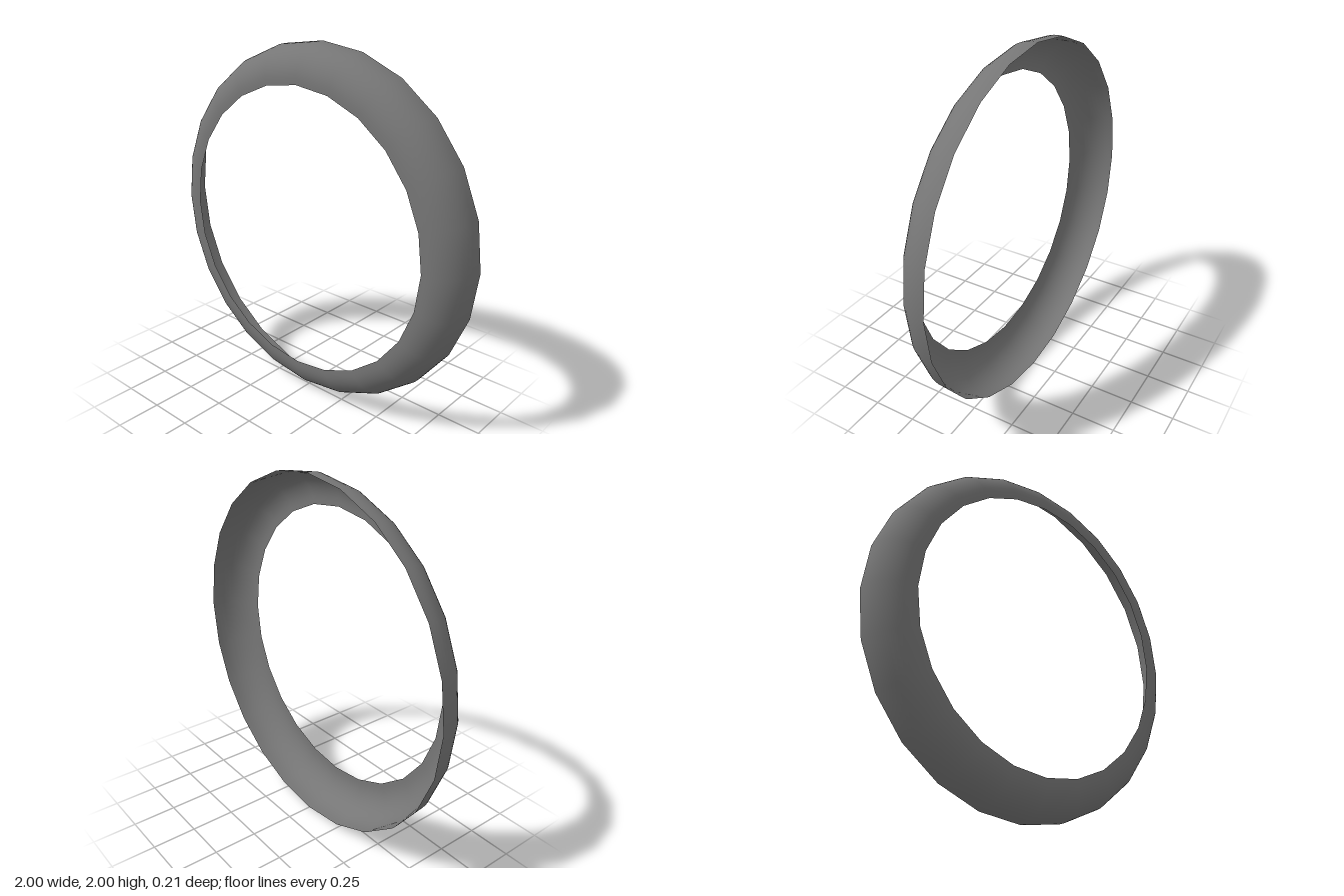
import * as THREE from 'three';

export function createModel() {
  const group = new THREE.Group();
  group.name = 'ring';

  // Profile from the back rim to the inner front rim: short straight wall, quarter round, short flat lip
  const outer = 1, inner = 0.8, halfDepth = 0.103, radius = 0.178, steps = 12;
  const profile = [new THREE.Vector2(outer, -halfDepth)];
  for (let i = 0; i <= steps; i++) {
    const a = (i / steps) * Math.PI / 2;
    profile.push(new THREE.Vector2(
      outer - radius + radius * Math.cos(a),
      halfDepth - radius + radius * Math.sin(a)
    ));
  }
  profile.push(new THREE.Vector2(inner, halfDepth));

  // Open shell swept around 24 sides, turned to face the front
  const geometry = new THREE.LatheGeometry(profile, 24);
  geometry.rotateX(Math.PI / 2);
  const material = new THREE.MeshStandardMaterial({ color: 0x767676, side: THREE.DoubleSide });
  const shell = new THREE.Mesh(geometry, material);
  shell.name = 'roundedRim';
  shell.position.y = outer;
  group.add(shell);

  return group;
}
